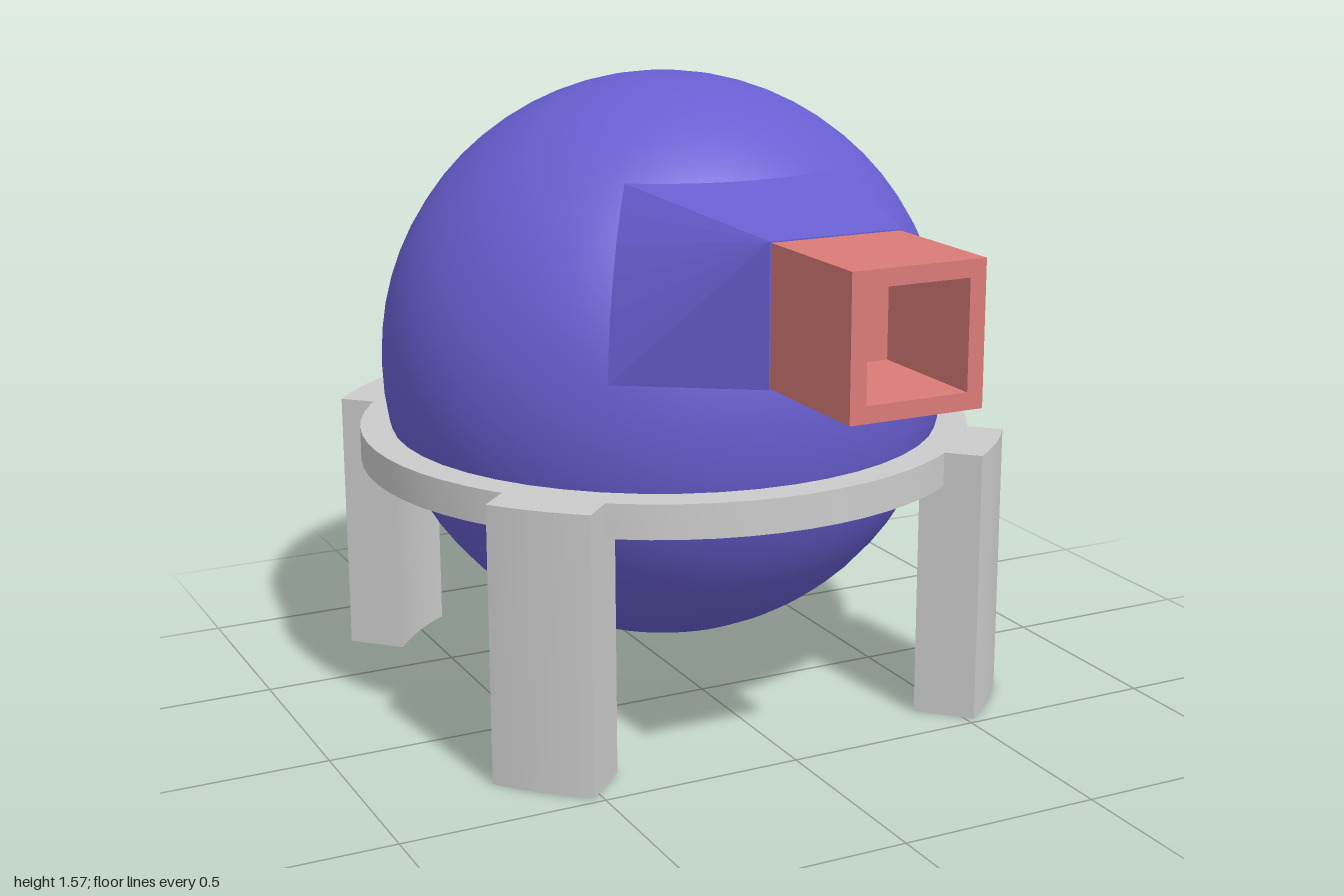
import * as THREE from 'three';
import { toCreasedNormals } from 'three/addons/utils/BufferGeometryUtils.js';
import { ConvexGeometry } from 'three/addons/geometries/ConvexGeometry.js';

const R = 0.72, CY = 0.85, CZ = -0.22;   // sphere
const NOZZLE_Y = 1.138, NOZZLE_Z = 0.655;

const grey = new THREE.MeshStandardMaterial({ color: 0xcccccc });
const blue = new THREE.MeshStandardMaterial({ color: 0x695fd2 });
const red = new THREE.MeshStandardMaterial({ color: 0xda7b78 });

function part(name, geometry, material, parent) {
  const mesh = new THREE.Mesh(geometry, material);
  mesh.name = name;
  parent.add(mesh);
  return mesh;
}

function extrude(shape, depth, curveSegments = 24) {
  const g = new THREE.ExtrudeGeometry(shape, { depth, bevelEnabled: false, curveSegments });
  return toCreasedNormals(g, 0.5);
}

function square(half, Type = THREE.Shape) {
  return new Type([[-1, -1], [1, -1], [1, 1], [-1, 1]].map(([x, y]) => new THREE.Vector2(x * half, y * half)));
}

export function createModel() {
  const model = new THREE.Group();
  model.name = 'sphereOnStand';

  // Main sphere
  part('sphere', new THREE.SphereGeometry(R, 48, 32), blue, model).position.set(0, CY, CZ);

  // Tapered neck: hull between a patch of the sphere and the square nozzle end
  const points = [];
  const side = THREE.MathUtils.degToRad(36);
  const low = THREE.MathUtils.degToRad(7.5), high = THREE.MathUtils.degToRad(46.2);
  for (let i = 0; i <= 10; i++) {
    for (let j = 0; j <= 6; j++) {
      const a = -side + (2 * side * i) / 10, b = low + ((high - low) * j) / 6;
      points.push(new THREE.Vector3(
        R * Math.cos(b) * Math.sin(a), CY + R * Math.sin(b), CZ + R * Math.cos(b) * Math.cos(a)));
    }
  }
  for (const x of [-1, 1]) for (const y of [-1, 1]) {
    points.push(new THREE.Vector3(x * 0.166, NOZZLE_Y + y * 0.166, NOZZLE_Z));
  }
  part('neck', new ConvexGeometry(points), blue, model);

  // Hollow square nozzle
  const nozzle = new THREE.Group();
  nozzle.name = 'nozzle';
  nozzle.position.set(0, NOZZLE_Y, NOZZLE_Z);
  const frame = square(0.163);
  frame.holes.push(square(0.124, THREE.Path));
  part('nozzleWalls', extrude(frame, 1 - NOZZLE_Z), red, nozzle);
  part('nozzleBack', new THREE.BoxGeometry(0.26, 0.26, 0.02), red, nozzle).position.z = 0.01;
  model.add(nozzle);

  // Stand: ring and four legs with curved inner and outer faces
  const stand = new THREE.Group();
  stand.name = 'stand';
  stand.position.z = CZ;
  const ringShape = new THREE.Shape().absarc(0, 0, 0.78, 0, Math.PI * 2);
  ringShape.holes.push(new THREE.Path().absarc(0, 0, 0.685, 0, Math.PI * 2));
  const ring = part('ring', extrude(ringShape, 0.085, 32), grey, stand);
  ring.rotation.x = -Math.PI / 2;
  ring.position.y = 0.6;

  const halfWidth = 0.127, outer = 0.872, inner = R;
  const ao = Math.asin(halfWidth / outer), ai = Math.asin(halfWidth / inner);
  const legShape = new THREE.Shape();
  legShape.absarc(0, 0, outer, -ao, ao);
  legShape.absarc(0, 0, inner, ai, -ai, true);
  legShape.closePath();
  const legGeometry = extrude(legShape, 0.685, 6).rotateX(-Math.PI / 2);
  for (let i = 0; i < 4; i++) {
    part('leg', legGeometry, grey, stand).rotation.y = Math.PI / 4 + (i * Math.PI) / 2;
  }
  model.add(stand);
  return model;
}
